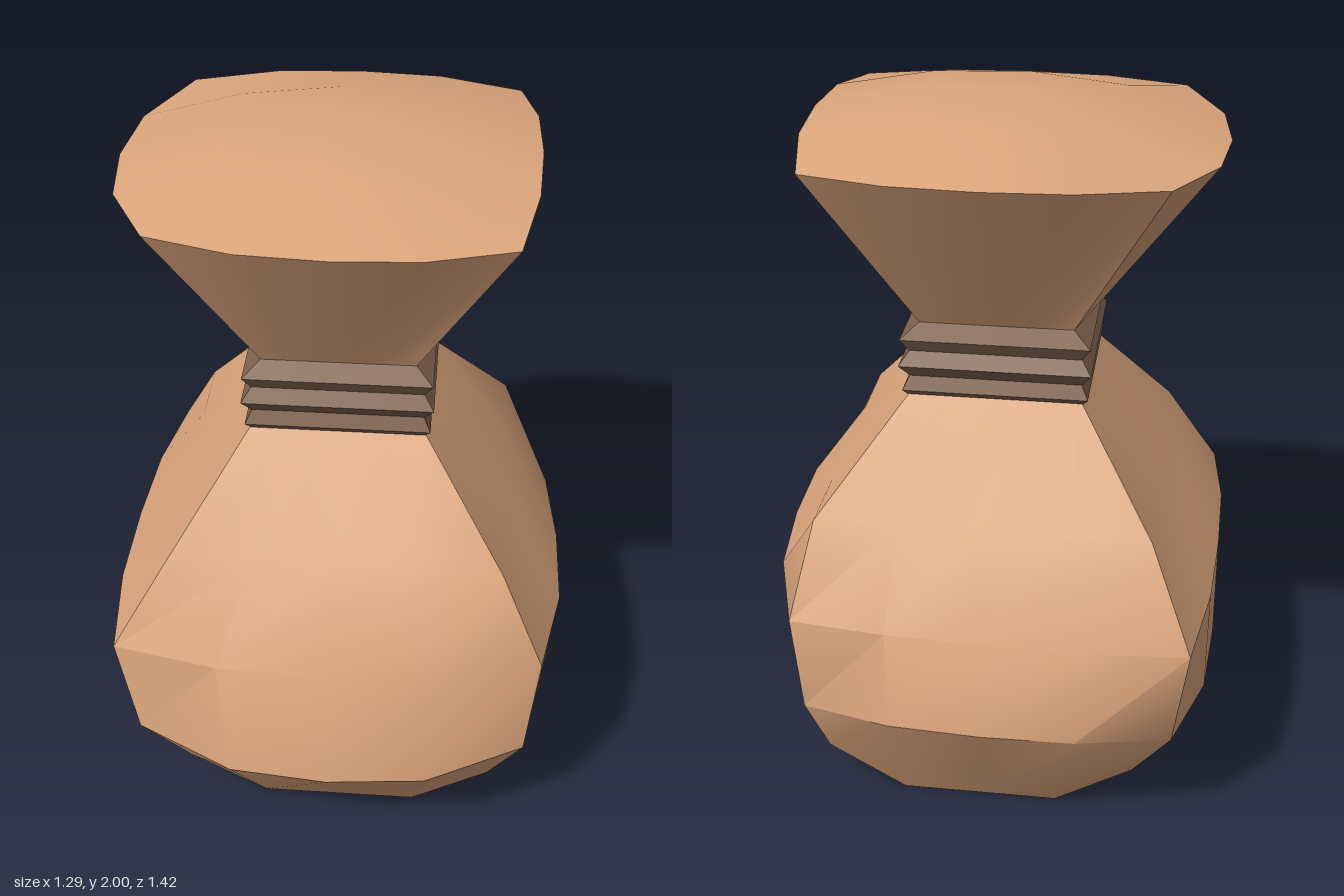
import * as THREE from 'three';
import { toCreasedNormals } from 'three/addons/utils/BufferGeometryUtils.js';

const N = 4; // segments along each side of a section
const lerp = (a, b, t) => a + (b - a) * t;

// Squarish section: corners [x, z] (front-left, front-right, back-right, back-left),
// side middles [front z, right x, back z, left x], and heights of both.
// "full" is how far the points beside the middle follow the bulge.
function section(corners, mids, yCorner, yMids, full = 0.85) {
  const bulge = [0, full, 1, full];
  const ring = [];
  for (let s = 0; s < 4; s++) {
    const a = corners[s], b = corners[(s + 1) % 4];
    const axis = s % 2 === 0 ? 1 : 0;
    const push = mids[s] - (a[axis] + b[axis]) / 2;
    for (let i = 0; i < N; i++) {
      const p = [lerp(a[0], b[0], i / N), lerp(a[1], b[1], i / N)];
      p[axis] += push * bulge[i];
      ring.push([p[0], lerp(yCorner, yMids[s], bulge[i]), p[1]]);
    }
  }
  return ring;
}

// Straight-sided section
const box = (y, l, r, f, b) =>
  section([[l, f], [r, f], [r, b], [l, b]], [f, r, b, l], y, [y, y, y, y]);

// Patch that closes a ring by blending its four sides, raised in the middle
function capGrid(ring, rise) {
  const rows = [];
  for (let j = 0; j <= N; j++) {
    const row = [];
    for (let i = 0; i <= N; i++) {
      const u = i / N, v = j / N;
      const F = ring[i], B = ring[3 * N - i], R = ring[N + j], L = ring[(4 * N - j) % (4 * N)];
      const p = [0, 1, 2].map(k =>
        lerp(F[k], B[k], v) + lerp(L[k], R[k], u) -
        lerp(lerp(ring[0][k], ring[N][k], u), lerp(ring[3 * N][k], ring[2 * N][k], u), v));
      p[1] += rise * 16 * u * (1 - u) * v * (1 - v);
      row.push(p);
    }
    rows.push(row);
  }
  return rows;
}

// Skin stacked rings, with optional bottom and top patches
function skin(rings, { bottom, top } = {}) {
  const pos = [];
  const quad = (a, b, c, d) => pos.push(...a, ...b, ...c, ...a, ...c, ...d);
  for (let k = 0; k < rings.length - 1; k++) {
    const lo = rings[k], hi = rings[k + 1];
    lo.forEach((p, i) => {
      const n = (i + 1) % lo.length;
      quad(p, lo[n], hi[n], hi[i]);
    });
  }
  const patch = (g, flip) => {
    for (let j = 0; j < N; j++) for (let i = 0; i < N; i++) {
      const a = g[j][i], b = g[j][i + 1], c = g[j + 1][i + 1], d = g[j + 1][i];
      if (flip) quad(a, d, c, b); else quad(a, b, c, d);
    }
  };
  if (bottom !== undefined) patch(capGrid(rings[0], bottom), true);
  if (top !== undefined) patch(capGrid(rings[rings.length - 1], top), false);
  const geo = new THREE.BufferGeometry();
  geo.setAttribute('position', new THREE.Float32BufferAttribute(pos, 3));
  return toCreasedNormals(geo, 0.55);
}

export function createModel() {
  const group = new THREE.Group();
  const cloth = new THREE.MeshStandardMaterial({ color: 0xdca67c });
  const rope = new THREE.MeshStandardMaterial({ color: 0x7d604a });
  const add = (name, geo, mat) => {
    const mesh = new THREE.Mesh(geo, mat);
    mesh.name = name;
    group.add(mesh);
  };

  // Full lower sack, with a base rolled up at its two sides
  add('sackBody', skin([
    section([[-0.43, 0.46], [0.46, 0.46], [0.46, -0.47], [-0.43, -0.47]],
      [0.46, 0.46, -0.47, -0.43], 0.13, [0, 0.13, 0, 0.13], 1),
    section([[-0.555, 0.56], [0.555, 0.56], [0.5, -0.58], [-0.54, -0.6]],
      [0.71, 0.59, -0.71, -0.64], 0.35, [0.32, 0.33, 0.39, 0.33]),
    section([[-0.615, 0.54], [0.59, 0.525], [0.525, -0.59], [-0.58, -0.62]],
      [0.63, 0.64, -0.655, -0.64], 0.64, [0.655, 0.655, 0.655, 0.655]),
    box(0.9, -0.46, 0.47, 0.455, -0.475),
    box(1.2, -0.245, 0.235, 0.215, -0.265),
  ], { bottom: 0 }), cloth);

  // Cord wound three times round the neck
  const cord = [[1.195, 0.24], [1.215, 0.256], [1.253, 0.237], [1.29, 0.264],
    [1.328, 0.237], [1.367, 0.26], [1.405, 0.21]];
  add('neckCord', skin(cord.map(([y, h]) => box(y, -h - 0.005, h - 0.005, h - 0.02, -h - 0.02)),
    { bottom: 0, top: 0 }), rope);

  // Flared mouth with a domed top
  add('flaredTop', skin([
    box(1.4, -0.215, 0.205, 0.19, -0.23),
    section([[-0.47, 0.42], [0.46, 0.42], [0.46, -0.49], [-0.47, -0.49]],
      [0.505, 0.515, -0.575, -0.607], 1.9, [1.9, 1.937, 1.905, 1.887], 0.82),
  ], { top: 0.086 }), cloth);

  return group;
}
